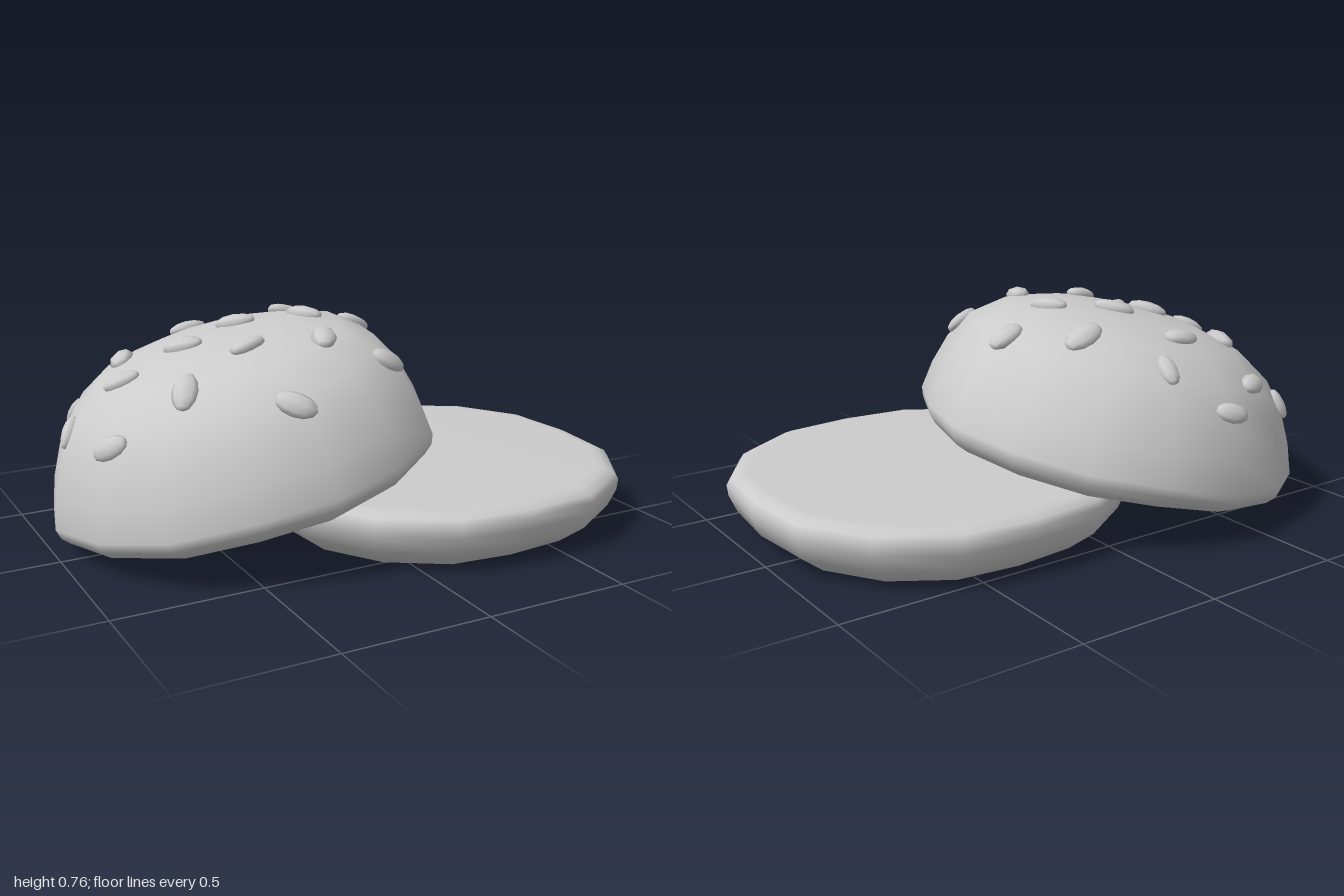
import * as THREE from 'three';

const SIDES = 16;

// Lathe whose radius varies slightly around the axis, repeating every quarter turn
function bunGeometry(profile, factors) {
  const geo = new THREE.LatheGeometry(profile.map(([r, y]) => new THREE.Vector2(r, y)), SIDES);
  const pos = geo.attributes.position;
  const rings = profile.length;
  for (let i = 0; i < pos.count; i++) {
    const f = factors[Math.floor(i / rings) % factors.length];
    pos.setX(i, pos.getX(i) * f);
    pos.setZ(i, pos.getZ(i) * f);
  }
  return geo;
}

// x, z, heading in degrees, size
const SEEDS = [
  [-0.37, -0.67, 15, 0.85], [-0.56, -0.57, -25, 0.9], [-0.78, -0.49, 50, 0.8],
  [-0.20, -0.54, -75, 0.85], [-0.375, -0.405, 0, 0.95], [-0.015, -0.33, -5, 1.05],
  [-0.66, -0.305, -70, 1.05], [-0.305, -0.135, 40, 1], [0.155, -0.13, -5, 0.95],
  [-0.91, -0.12, -50, 0.85], [-0.755, -0.03, 30, 0.9], [-0.53, -0.055, 45, 1],
  [-0.08, -0.05, 60, 0.95], [-0.87, 0.185, 45, 0.9], [-0.65, 0.265, -60, 1],
  [-0.40, 0.18, -10, 0.9], [-0.16, 0.25, -65, 1], [0.04, 0.32, 0, 0.9],
  [-0.375, 0.48, 35, 0.95],
];

export function createModel() {
  const group = new THREE.Group();
  const material = new THREE.MeshStandardMaterial({ color: 0xcccccc });
  const up = new THREE.Vector3(0, 1, 0);

  // Bottom bun: flat slice with a rounded underside
  const bottomBun = new THREE.Mesh(bunGeometry([
    [0, 0], [0.548, 0], [0.635, 0.07], [0.66, 0.13],
    [0.664, 0.168], [0.65, 0.19], [0.62, 0.204], [0.59, 0.205], [0, 0.205],
  ], [1, 1.04, 1.05, 1.04]), material);
  bottomBun.name = 'bottomBun';
  bottomBun.position.set(0.336, 0, 0.09);
  group.add(bottomBun);

  // Top bun: tilted dome leaning on the bottom bun
  const topGeo = bunGeometry([
    [0, -0.09], [0.56, -0.088], [0.61, -0.078], [0.655, -0.055], [0.682, -0.025],
    [0.692, 0.01], [0.665, 0.115], [0.62, 0.225], [0.55, 0.325], [0.43, 0.408],
    [0.27, 0.452], [0.12, 0.465], [0, 0.468],
  ], [1, 1, 1.005, 0.965]);
  topGeo.rotateY(THREE.MathUtils.degToRad(2.2));
  // Lean the crown a little to the front and side
  const pos = topGeo.attributes.position;
  for (let i = 0; i < pos.count; i++) {
    const lift = Math.max(0, pos.getY(i));
    pos.setX(i, pos.getX(i) + 0.06 * lift);
    pos.setZ(i, pos.getZ(i) + 0.04 * lift);
  }
  const topBun = new THREE.Mesh(topGeo, material);
  topBun.name = 'topBun';
  topBun.position.set(-0.322, 0.228, -0.068);
  topBun.quaternion.setFromUnitVectors(up, new THREE.Vector3(-0.21, 1, -0.075).normalize());
  topBun.updateMatrixWorld(true);
  group.add(topBun);

  // Seeds: dropped onto the dome and laid along its surface
  const seeds = new THREE.Group();
  seeds.name = 'seeds';
  const seedGeo = new THREE.SphereGeometry(1, 8, 6);
  seedGeo.rotateZ(Math.PI / 2);
  seedGeo.scale(0.073, 0.028, 0.043);
  const ray = new THREE.Raycaster();
  const down = new THREE.Vector3(0, -1, 0);
  for (const [x, z, heading, size] of SEEDS) {
    ray.set(new THREE.Vector3(x, 2, z), down);
    const hit = ray.intersectObject(topBun)[0];
    const normal = hit.face.normal.clone().transformDirection(topBun.matrixWorld);
    const a = THREE.MathUtils.degToRad(heading);
    // Long axis: the heading seen from above, lifted into the surface plane
    const along = new THREE.Vector3(Math.cos(a), 0, Math.sin(a));
    along.y = -(along.x * normal.x + along.z * normal.z) / normal.y;
    along.normalize();
    const across = new THREE.Vector3().crossVectors(along, normal);
    const seed = new THREE.Mesh(seedGeo, material);
    seed.name = 'seed';
    seed.quaternion.setFromRotationMatrix(new THREE.Matrix4().makeBasis(along, normal, across));
    seed.scale.setScalar(size);
    seed.position.copy(hit.point).addScaledVector(normal, 0.004);
    seeds.add(seed);
  }
  group.add(seeds);

  return group;
}
